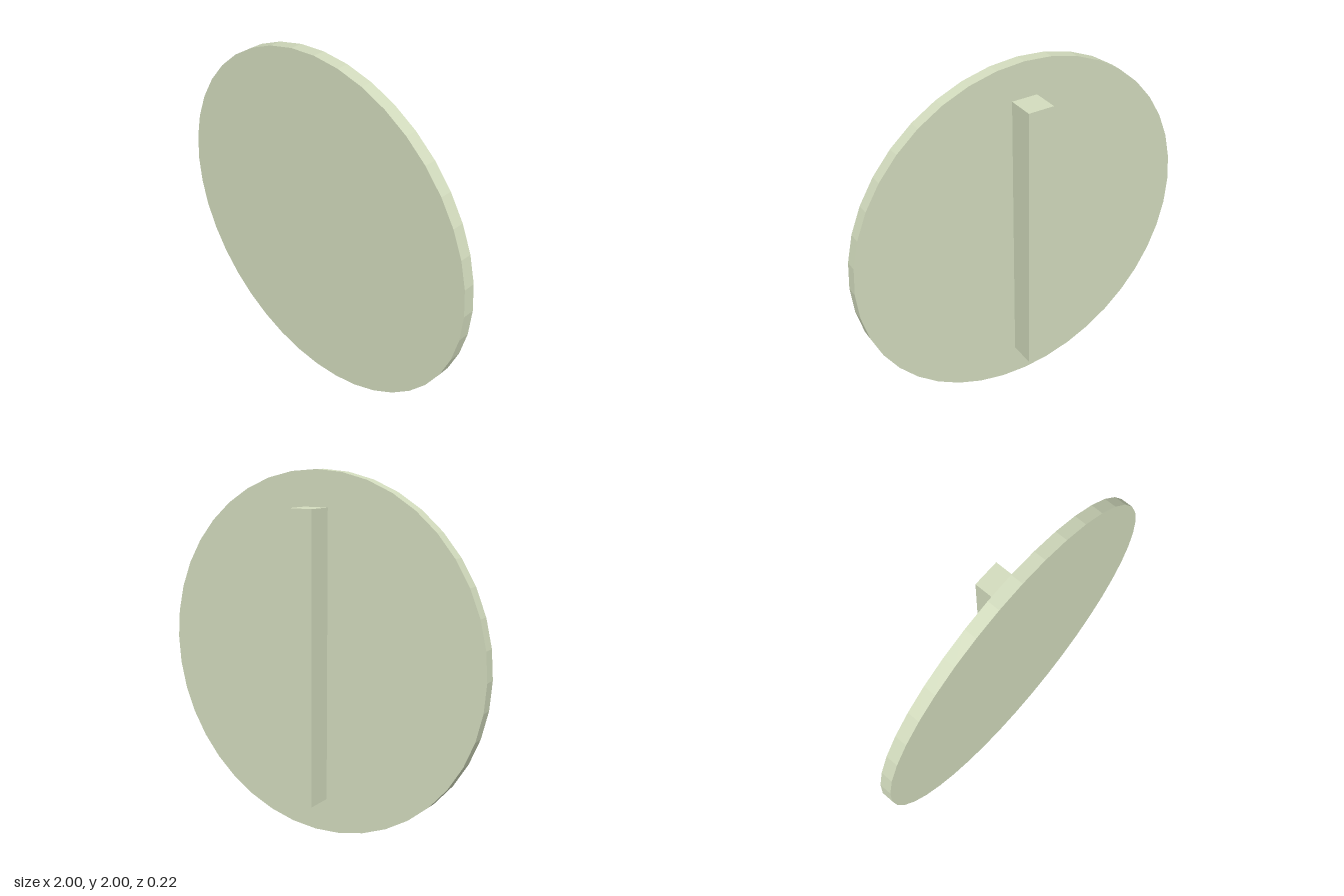
import * as THREE from 'three';

export function createModel() {
  const model = new THREE.Group();
  const material = new THREE.MeshStandardMaterial({ color: 0xd3dcbe, flatShading: true });

  const front = 0.108, discBack = 0.042, barBack = -0.108;

  const addPart = (name, geometry, z) => {
    const mesh = new THREE.Mesh(geometry, material);
    mesh.name = name;
    mesh.position.set(0, 1, z);
    model.add(mesh);
  };

  // Round plate, 40 sides, facing forward
  const disc = new THREE.CylinderGeometry(1, 1, front - discBack, 40);
  disc.rotateX(Math.PI / 2);
  addPart('disc', disc, (front + discBack) / 2);

  // Upright square bar fixed to the back of the plate
  addPart('backBar', new THREE.BoxGeometry(0.146, 1.61, discBack - barBack), (discBack + barBack) / 2);

  return model;
}
